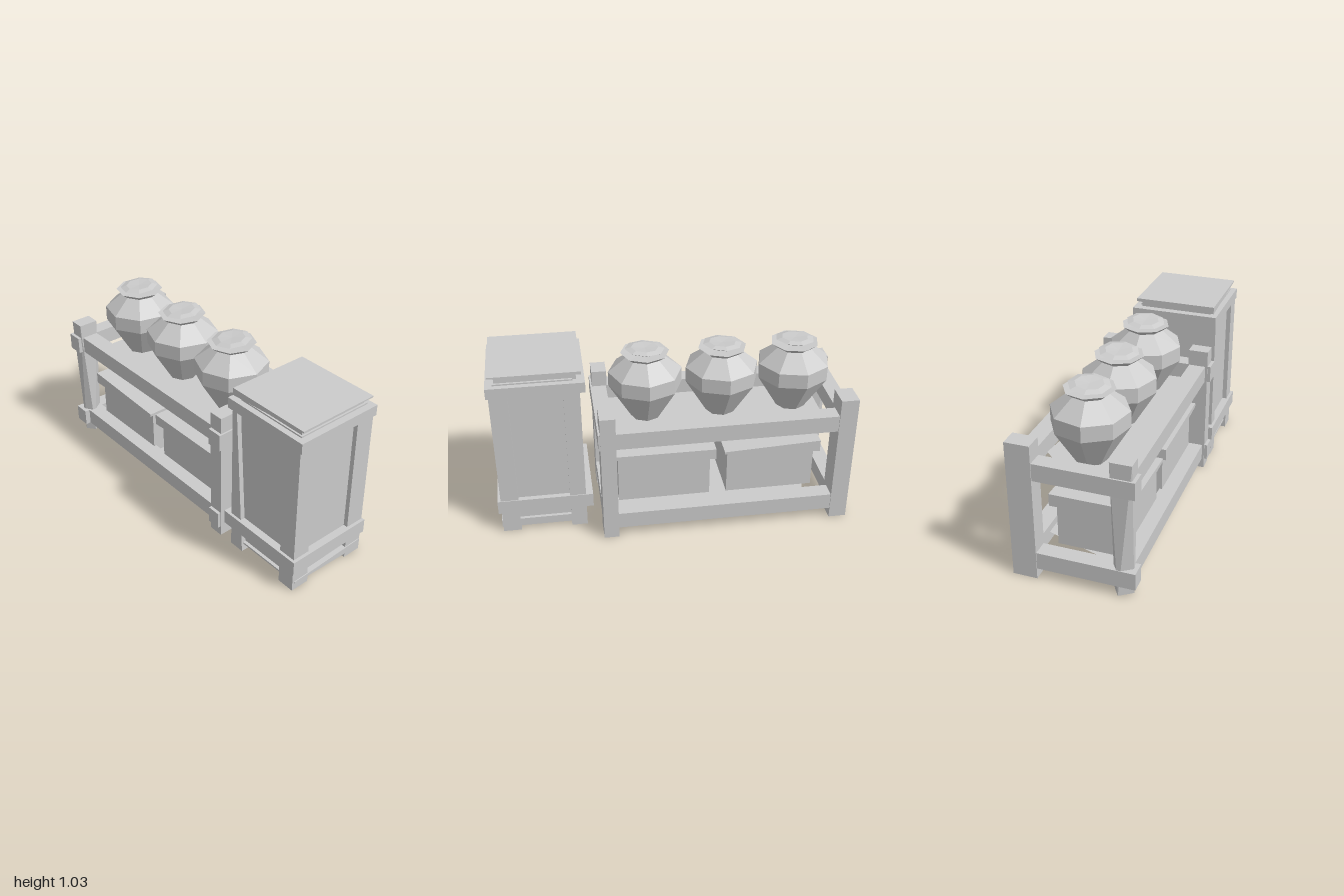
import * as THREE from 'three';

const mat = new THREE.MeshStandardMaterial({ color: 0xcccccc, flatShading: true });
const thinMat = new THREE.MeshStandardMaterial({ color: 0xcccccc, flatShading: true, side: THREE.DoubleSide });

function add(parent, name, geo, material = mat) {
  const mesh = new THREE.Mesh(geo, material);
  mesh.name = name;
  parent.add(mesh);
  return mesh;
}

// Box from its limits; warp(v) may move each corner
function block(parent, name, [x0, x1], [y0, y1], [z0, z1], warp) {
  const geo = new THREE.BoxGeometry(x1 - x0, y1 - y0, z1 - z0);
  geo.translate((x0 + x1) / 2, (y0 + y1) / 2, (z0 + z1) / 2);
  if (warp) {
    const p = geo.attributes.position, v = new THREE.Vector3();
    for (let i = 0; i < p.count; i++) {
      warp(v.fromBufferAttribute(p, i));
      p.setXYZ(i, v.x, v.y, v.z);
    }
    geo.computeVertexNormals();
  }
  return add(parent, name, geo);
}

// Thin board from [x, z] outline points at height y
function sheet(parent, name, outline, y) {
  const geo = new THREE.ShapeGeometry(new THREE.Shape(outline.map(([x, z]) => new THREE.Vector2(x, -z))));
  geo.rotateX(-Math.PI / 2);
  geo.translate(0, y, 0);
  return add(parent, name, geo, thinMat);
}

function makeRack() {
  const rack = new THREE.Group();
  rack.name = 'rack';
  // Posts, the front one at -x twisted towards its foot
  block(rack, 'backPost', [-1, -0.9], [0, 0.785], [-0.335, -0.2]);
  block(rack, 'backPost', [0.33, 0.415], [0, 0.785], [-0.335, -0.2]);
  block(rack, 'frontPost', [0.33, 0.415], [0, 0.78], [0.2, 0.315]);
  const axis = new THREE.Vector3(-0.943, 0, 0.257), up = new THREE.Vector3(0, 1, 0);
  block(rack, 'twistedFrontPost', [-0.985, -0.9], [0, 0.77], [0.2, 0.315], v => {
    if (v.y < 0.1) v.sub(axis).applyAxisAngle(up, 0.6).multiplyScalar(0.75).add(axis);
  });
  // Rails at two heights
  for (const [y, outer] of [[[0.06, 0.157], 0.413], [[0.59, 0.687], 0.425]]) {
    block(rack, 'frontRail', [-0.95, 0.38], y, [0.205, 0.302]);
    block(rack, 'backRail', [-0.95, 0.38], y, [-0.33, -0.235]);
    block(rack, 'sideRail', [-0.995, -0.905], y, [-0.325, 0.333]);
    block(rack, 'sideRail', [0.335, outer], y, [-0.33, 0.333]);
  }
  // Shelf boards
  sheet(rack, 'upperShelf', [[-0.86, 0.21], [0.33, 0.21], [0.31, -0.17], [0.13, -0.235],
    [-0.28, -0.175], [-0.73, -0.235], [-0.86, -0.1]], 0.6);
  sheet(rack, 'lowerShelf', [[-0.9, 0.21], [0.33, 0.21], [0.33, -0.24], [-0.75, -0.24]], 0.115);
  return rack;
}

// Box with a tilted wedge-shaped lid
function makeCrate(x0, x1, top, lidEnds) {
  const crate = new THREE.Group();
  crate.name = 'crate';
  block(crate, 'crateBody', [x0, x1], [0.117, top], [-0.15, 0.22]);
  const [leftLow, leftHigh, rightLow, rightHigh] = lidEnds;
  block(crate, 'crateLid', [x0 - 0.03, x1 + 0.02], [0, 1], [-0.18, 0.25], v => {
    const low = v.x < (x0 + x1) / 2 ? leftLow : rightLow;
    const high = v.x < (x0 + x1) / 2 ? leftHigh : rightHigh;
    v.y = v.y < 0.5 ? low : high;
  });
  return crate;
}

// Eight-sided jar with a flared lip and a crooked cover
function makeJar(x, turn) {
  const jar = new THREE.Group();
  jar.name = 'jar';
  const profile = [[0, 0.602], [0.085, 0.602], [0.205, 0.8], [0.205, 0.885], [0.1, 0.97],
    [0.135, 0.998], [0, 0.99]].map(([r, y]) => new THREE.Vector2(r, y));
  add(jar, 'jarBody', new THREE.LatheGeometry(profile, 8), thinMat);
  const rim = [[0, 1.0], [0.09, 1.003], [0.11, 1.013], [0.075, 1.022], [0, 1.018]]
    .map(([r, y]) => new THREE.Vector2(r, y - 1.01));
  const cover = add(jar, 'jarCover', new THREE.LatheGeometry(rim, 8), thinMat);
  cover.position.y = 1.012;
  cover.rotation.set(0.06, 0, 0.05);
  jar.position.x = x;
  jar.rotation.y = turn;
  return jar;
}

function makeCabinet() {
  const cabinet = new THREE.Group();
  cabinet.name = 'cabinet';
  block(cabinet, 'cabinetBody', [0.535, 0.955], [0.06, 0.95], [-0.165, 0.285]);
  // Corner posts, the front ones worn above their feet
  for (const x of [[0.5, 0.59], [0.88, 0.98]]) {
    block(cabinet, 'backPost', x, [0, 0.9], [-0.19, -0.08]);
    block(cabinet, 'frontPost', x, [0, 0.9], [0.2, 0.312], v => {
      if (v.y < 0.5) return;
      if (v.z < 0.25) v.z = 0.232;
      if (x[0] < 0.6 && v.x > 0.55) v.x = 0.53;
    });
  }
  // Bands round the foot and the top
  const band = (name, x, y, z, t) => {
    block(cabinet, name, x, y, [z[1] - t, z[1]]);
    block(cabinet, name, x, y, [z[0], z[0] + t]);
    block(cabinet, name, [x[0], x[0] + t], y, [z[0] + t, z[1] - t]);
    block(cabinet, name, [x[1] - t, x[1]], y, [z[0] + t, z[1] - t]);
  };
  band('lowerBand', [0.46, 0.998], [0.13, 0.212], [-0.195, 0.328], 0.08);
  band('upperBand', [0.47, 0.993], [0.882, 0.942], [-0.197, 0.318], 0.07);
  // Wedge-shaped bottom board, thicker at the back
  block(cabinet, 'bottomBoard', [0.52, 0.985], [0.045, 0.055], [-0.185, 0.3], v => {
    if (v.z < 0) v.y += v.y < 0.05 ? -0.018 : 0.02;
  });
  // Lid: inner step and a tapered top board
  block(cabinet, 'lidStep', [0.515, 0.945], [0.94, 0.978], [-0.152, 0.275]);
  block(cabinet, 'lidBoard', [0.487, 0.98], [0.957, 0.998], [-0.175, 0.3], v => {
    if (v.y > 0.98) return;
    if (v.z < 0) v.y = 0.98;
    if (v.x > 0.7) v.y = 0.99;
  });
  return cabinet;
}

export function createModel() {
  const model = new THREE.Group();
  model.name = 'storageRackAndCabinet';
  model.add(
    makeRack(),
    makeCrate(-0.83, -0.32, 0.385, [0.365, 0.435, 0.395, 0.41]),
    makeCrate(-0.22, 0.31, 0.4, [0.37, 0.435, 0.415, 0.437]),
    makeJar(-0.71, 0.15), makeJar(-0.3, 0.05), makeJar(0.13, 0),
    makeCabinet(),
  );
  return model;
}
